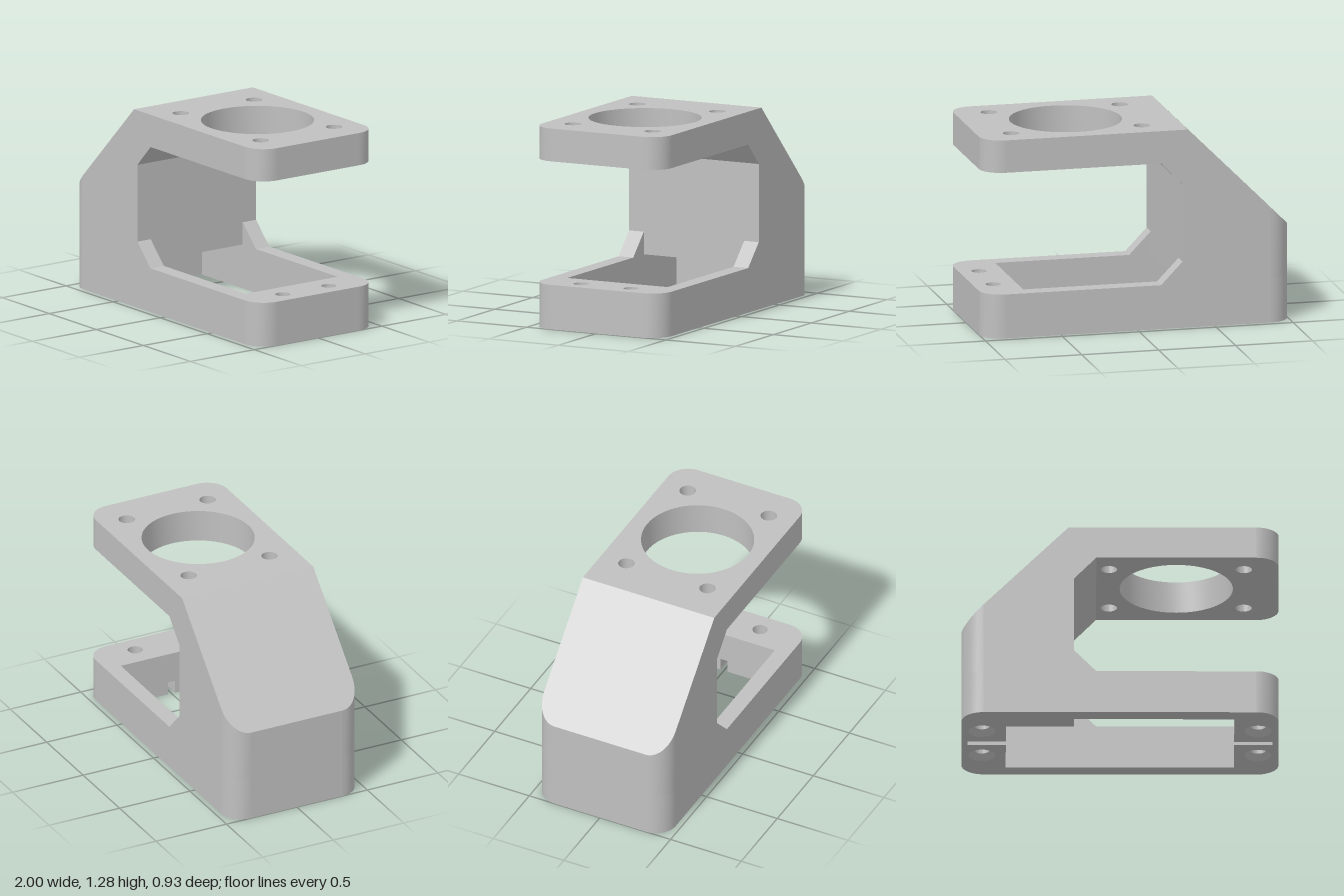
import * as THREE from 'three';
import { mergeGeometries, toCreasedNormals } from 'three/addons/utils/BufferGeometryUtils.js';

// Plan coordinates are (u, v) = (x, -z); all outlines run counter-clockwise.
const W = 0.465, R = 0.14;                    // half depth, corner radius
const BASE = 0.285, ARM = 1.075, TOP = 1.285; // main levels
const BACK = -0.29, LIP = -0.15;              // throat wall, throat chamfer edge
const PX = 0.72, PZ = 0.36;                   // pocket half sizes
const SLOT = 0.085;                           // slot depth
const slope = (u) => Math.min(TOP, u + 1.61);

const arcPoints = (cx, cy, r, from, sweep, n) => Array.from({ length: n + 1 }, (_, i) => {
  const a = from + (sweep * i) / n;
  return [cx + r * Math.cos(a), cy + r * Math.sin(a)];
});
const circle = (cx, cy, r, n = 32) => arcPoints(cx, cy, r, 0, Math.PI * 2, n);
const corner = (q) => arcPoints([1, -1, -1, 1][q] * (1 - R), [1, 1, -1, -1][q] * (W - R), R, q * Math.PI / 2, Math.PI / 2, 10);
const rect = (a, b, c, d) => [[a, c], [b, c], [b, d], [a, d]];
const closed = (pts) => [...pts, pts[0]];

function finish(geo, flip) {
  geo.deleteAttribute('uv');
  geo.deleteAttribute('normal');
  const index = geo.index.array;
  if (flip) {
    for (let i = 0; i < index.length; i += 3) [index[i], index[i + 1]] = [index[i + 1], index[i]];
  }
  const flat = geo.toNonIndexed();
  flat.computeVertexNormals();
  return toCreasedNormals(flat, 0.6);
}

// Planar face: outline with holes, placed in space by map(u, v)
function sheet(outline, holes, map, flip = false) {
  const vec = (pts) => pts.map(([x, y]) => new THREE.Vector2(x, y));
  const shape = new THREE.Shape(vec(outline));
  shape.holes = holes.map((h) => new THREE.Path(vec(h)));
  const geo = new THREE.ShapeGeometry(shape);
  const p = geo.attributes.position;
  for (let i = 0; i < p.count; i++) p.setXYZ(i, ...map(p.getX(i), p.getY(i)));
  return finish(geo, flip);
}
const level = (y) => (u, v) => [u, y, -v];
const sideAt = (z) => (u, v) => [u, v, z];
const endAt = (x) => (u, v) => [x, v, -u];
const bothSides = (outline, z = W, inward = false) =>
  [sheet(outline, [], sideAt(z), inward), sheet(outline, [], sideAt(-z), !inward)];

// Upright strip along a plan path; hi may be a height rule, upper another path
function wall(path, lo, hi, inward = false, upper = path) {
  const top = typeof hi === 'function' ? hi : () => hi;
  const pos = [], idx = [];
  path.forEach(([u, v], i) => {
    const [s, t] = upper[i];
    pos.push(u, lo, -v, s, top(s), -t);
    if (i) {
      const a = 2 * i - 2;
      idx.push(a, a + 2, a + 3, a, a + 3, a + 1);
    }
  });
  const geo = new THREE.BufferGeometry();
  geo.setAttribute('position', new THREE.Float32BufferAttribute(pos, 3));
  geo.setIndex(idx);
  return finish(geo, inward);
}

export function createModel() {
  const model = new THREE.Group();
  const grey = new THREE.MeshStandardMaterial({ color: 0xc0c0c0, side: THREE.DoubleSide });
  grey.name = 'plain grey';
  const add = (name, parts) => {
    const mesh = new THREE.Mesh(mergeGeometries(parts), grey);
    mesh.name = name;
    model.add(mesh);
  };
  const flatEnd = W - R;

  // Base frame with rectangular pocket and two cable slots
  const s = 0.025, e = 0.96;
  const pocket = rect(-PX, PX, -PZ, PZ);
  const slotted = [[PX, -PZ], [PX, -s], [e, -s], [e, s], [PX, s], [PX, PZ],
    [-PX, PZ], [-PX, s], [-e, s], [-e, -s], [-PX, -s], [-PX, -PZ]];
  const screws = [[0.87, 0.18], [0.87, -0.18], [-0.87, 0.18], [-0.87, -0.18]];
  const sinks = screws.map(([x, v]) => circle(x, v, 0.085));
  const bores = screws.map(([x, v]) => circle(x, v, 0.048));
  add('baseFrame', [
    sheet([0, 1, 2, 3].flatMap(corner), [slotted, ...sinks], level(0), true),
    sheet([[LIP, -W], ...corner(3), ...corner(0), [LIP, W], [LIP, PZ], [PX, PZ], [PX, -PZ], [LIP, -PZ]],
      bores.slice(0, 2), level(BASE)),
    ...[0, 1, 2, 3].map((q) => wall(corner(q), 0, BASE)),
    ...bothSides(rect(R - 1, 1 - R, 0, BASE)),
    sheet(rect(-flatEnd, flatEnd, 0, BASE), [], endAt(1)),
    sheet(rect(-flatEnd, flatEnd, 0, BASE), [], endAt(-1), true),
  ]);
  add('pocket', [
    wall(closed(slotted), 0, SLOT, true),
    wall(closed(pocket), SLOT, BASE, true),
    sheet(rect(PX, e, -s, s), [], level(SLOT), true),
    sheet(rect(-e, -PX, -s, s), [], level(SLOT), true),
    sheet(rect(-PX, BACK, -PZ, PZ), [], level(BASE), true),
  ]);
  // Countersunk screw holes; the pair under the column is blind
  add('screwHoles', [
    ...sinks.map((ring, i) => wall(ring, 0, 0.035, true, bores[i])),
    ...bores.map((ring) => wall(ring, 0.035, BASE, true)),
    ...bores.slice(2).map((ring) => sheet(ring, [], level(BASE), true)),
  ]);

  // Column with sloping back and chamfered throat
  const throat = [[-W, 0.43], [-PZ, 0.43], [-PZ, BASE], [PZ, BASE], [PZ, 0.43], [W, 0.43], [W, 0.93], [-W, 0.93]];
  const lowChamfer = (u, v) => [u, BASE + (LIP - u) * 0.145 / 0.14, -v];
  const highChamfer = (u, v) => [u, ARM - (LIP - u) * 0.145 / 0.14, -v];
  add('column', [
    ...bothSides([[R - 1, BASE], [LIP, BASE], [BACK, 0.43], [BACK, 0.93], [LIP, ARM], [LIP, TOP],
      [-0.325, TOP], [R - 1, slope(R - 1)]]),
    ...[1, 2].map((q) => wall(corner(q), BASE, slope)),
    sheet(rect(-flatEnd, flatEnd, BASE, slope(-1)), [], endAt(-1), true),
    sheet([[-0.325, W], ...corner(1), ...corner(2), [-0.325, -W]], [], (u, v) => [u, slope(u), -v]),
    sheet(throat, [], endAt(BACK)),
    sheet(rect(BACK, LIP, PZ, W), [], lowChamfer),
    sheet(rect(BACK, LIP, -W, -PZ), [], lowChamfer),
    ...bothSides([[BACK, BASE], [LIP, BASE], [BACK, 0.43]], PZ, true),
    sheet(rect(BACK, LIP, -W, W), [], highChamfer, true),
  ]);

  // Upper mounting plate with large bore and four bolt holes
  const holes = [circle(0.355, 0, 0.357, 64)];
  for (const x of [-0.07, 0.78]) for (const v of [-0.287, 0.287]) holes.push(circle(x, v, 0.052));
  const plate = (x0) => [[x0, -W], ...corner(3), ...corner(0), [x0, W]];
  add('mountingPlate', [
    sheet(plate(-0.325), holes, level(TOP)),
    sheet(plate(LIP), holes, level(ARM), true),
    ...holes.map((ring) => wall(ring, ARM, TOP, true)),
    ...[3, 0].map((q) => wall(corner(q), ARM, TOP)),
    ...bothSides(rect(LIP, 1 - R, ARM, TOP)),
    sheet(rect(-flatEnd, flatEnd, ARM, TOP), [], endAt(1)),
  ]);
  return model;
}
